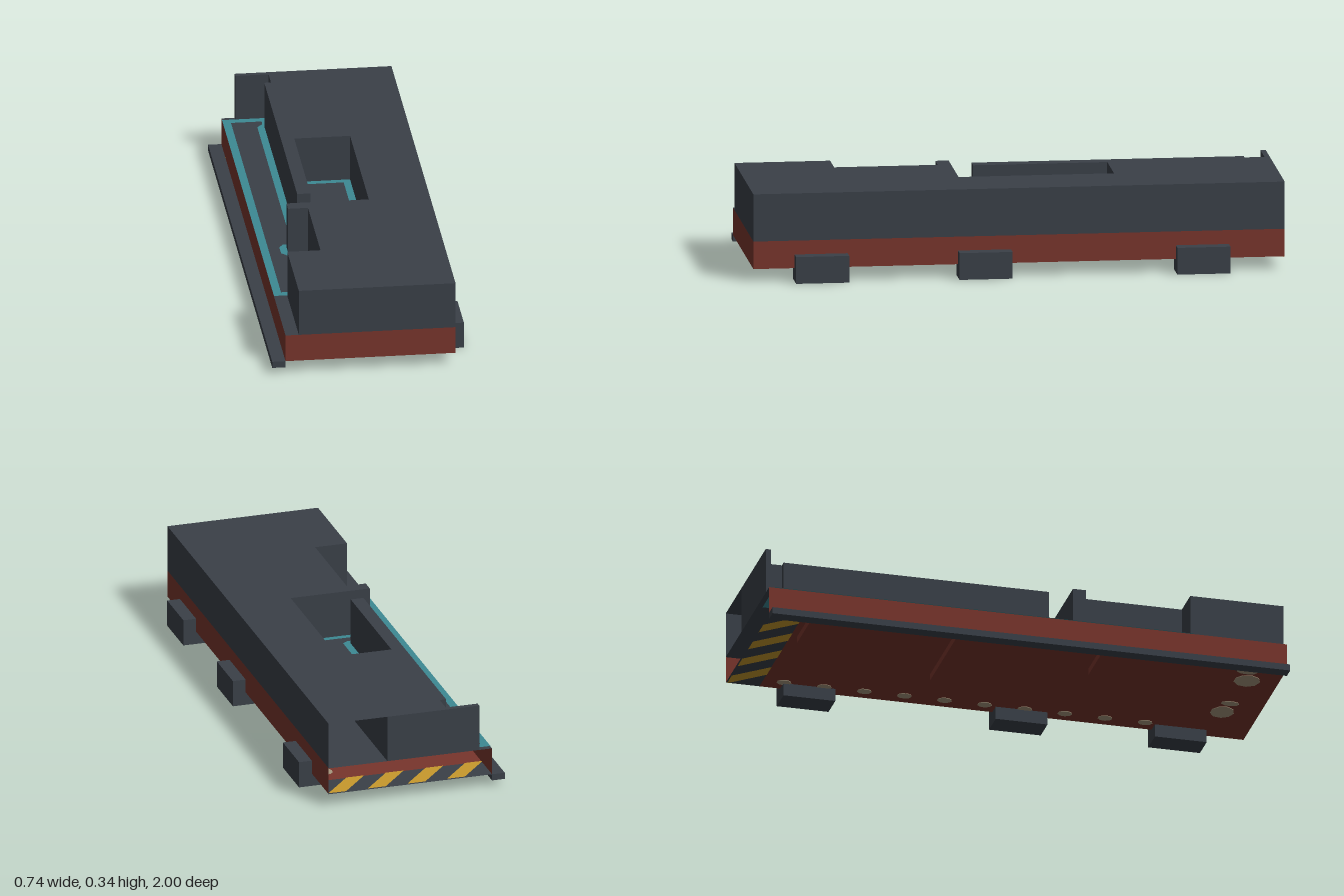
import * as THREE from 'three';

const mat = (name, color, side = THREE.DoubleSide) => {
  const m = new THREE.MeshStandardMaterial({ color, side });
  m.name = name;
  return m;
};

export function createModel() {
  const dark = mat('slate grey', 0x3a4048);
  const red = mat('rust red', 0x78352c);
  const teal = mat('teal', 0x3d8a94);
  const yellow = mat('hazard yellow', 0xc8992c);
  const beige = mat('worn beige', 0xa8987f);

  const root = new THREE.Group();
  root.name = 'hollowBlock';

  const add = (name, geo, material, x = 0, y = 0, z = 0) => {
    const m = new THREE.Mesh(geo, material);
    m.name = name;
    m.position.set(x, y, z);
    root.add(m);
    return m;
  };
  // box given by its limits
  const box = (name, material, x0, x1, y0, y1, z0, z1) =>
    add(name, new THREE.BoxGeometry(x1 - x0, y1 - y0, z1 - z0), material,
      (x0 + x1) / 2, (y0 + y1) / 2, (z0 + z1) / 2);
  // upright sheet between two plan points
  const wall = (name, material, [xa, za], [xb, zb], y0, y1) => {
    const g = new THREE.PlaneGeometry(Math.hypot(xb - xa, zb - za), y1 - y0);
    const m = add(name, g, material, (xa + xb) / 2, (y0 + y1) / 2, (za + zb) / 2);
    m.rotation.y = Math.atan2(za - zb, xb - xa);
  };
  // flat sheet from a plan outline in x, z
  const toVec = (pts) => pts.map(([x, z]) => new THREE.Vector2(x, -z));
  const sheet = (name, material, pts, y, hole) => {
    const s = new THREE.Shape(toVec(pts));
    if (hole) s.holes.push(new THREE.Path(toVec(hole)));
    add(name, new THREE.ShapeGeometry(s).rotateX(-Math.PI / 2), material, 0, y, 0);
  };
  const rect = (x0, x1, z0, z1) => [[x0, z1], [x1, z1], [x1, z0], [x0, z0]];

  const FLOOR = 0.05, DECK = 0.155, TOP = 0.335, W = 0.32;

  // lower shell, open at the back
  const bandEnd = -0.87;
  sheet('floor', red, rect(-W, W, bandEnd, 1), FLOOR);
  wall('lowerLeftWall', red, [W, 1], [W, -1], FLOOR, DECK);
  wall('lowerRightWall', red, [-W, -1], [-W, 1], FLOOR, DECK);
  wall('lowerFrontWall', red, [-W, 1], [W, 1], FLOOR, DECK);
  sheet('deck', dark, rect(-W, W, -1, 1), DECK);

  // edges of the recess cut into the upper shell
  const recess = [
    [-0.145, 0.64], [-0.145, 0.25], [-0.22, 0.25], [-0.22, 0.2], [0.09, 0.2],
    [0.09, -0.385], [-0.12, -0.385], [-0.12, 0.12], [-0.17, 0.12],
    [-0.17, -0.905], [-0.145, -0.905], [-0.145, -0.98],
  ];

  // upper shell: roof, outer walls and recess walls
  const roof = [[0.09, -1], [W, -1], [W, 1], [-0.27, 1], [-0.27, 0.64],
    ...recess, [-0.27, -0.98], [-0.27, -1]];
  sheet('roof', dark, roof, TOP);
  roof.forEach((p, i) => {
    if (i > 0) wall('upperWall', dark, p, roof[(i + 1) % roof.length], DECK, TOP);
  });
  // side of the tunnel that opens at the back
  wall('tunnelWall', dark, [0.09, -1], [0.09, -0.385], DECK, TOP);

  // teal border following the recess on the deck
  const inner = [
    [-0.29, 0.61], [-0.17, 0.61], [-0.17, 0.28], [-0.225, 0.28], [-0.247, 0.255],
    [-0.247, 0.2], [-0.23, 0.177], [0.063, 0.177], [0.063, -0.36], [-0.093, -0.36],
    [-0.093, 0.13], [-0.115, 0.145], [-0.175, 0.145], [-0.197, 0.13],
    [-0.197, -0.9], [-0.175, -0.925], [-0.175, -0.95], [-0.29, -0.95],
  ];
  const outer = [[-W, 0.64], ...recess, [-W, -0.98]];
  sheet('recessBorderTop', teal, outer, DECK + 0.002, inner);
  sheet('recessBorderUnderside', teal, outer, DECK - 0.002, inner);

  // hazard band across the back of the floor
  sheet('hazardBand', dark, rect(-W, W, -1, bandEnd), FLOOR);
  for (let i = 0; i < 4; i++) {
    const c = 0.23 - i * 0.155;
    const stripe = [[c + 0.02, -0.995], [c + 0.09, -0.995],
      [c - 0.02, bandEnd], [c - 0.09, bandEnd]];
    sheet('hazardStripe', yellow, stripe, FLOOR + 0.002);
    sheet('hazardStripeUnderside', yellow, stripe, FLOOR - 0.002);
  }

  // worn spots on the underside: a row, and patches near the front
  const spot = (x, z, rx, rz) => {
    const g = new THREE.CylinderGeometry(1, 1, 0.004, 9);
    add('wornSpot', g, beige, x, FLOOR, z).scale.set(rx, 1, rz);
  };
  for (let i = 0; i < 10; i++) spot(0.262, -0.79 + i * 0.155, 0.022, 0.028);
  [[0.1, 0.86, 0.05, 0.045], [0.02, 0.87, 0.02, 0.035],
    [-0.19, 0.88, 0.05, 0.05], [-0.27, 0.86, 0.022, 0.04]].forEach((p) => spot(...p));

  // raised plates under the floor
  box('underPlateBack', red, -W, -0.14, 0.025, FLOOR, -0.845, -0.43);
  box('underPlateMiddle', red, -W, 0.06, 0.025, FLOOR, -0.28, 0.18);
  box('underPlateFront', red, -W, -0.14, 0.025, FLOOR, 0.28, 0.61);

  // long rail on one side, three clips on the other
  box('sideRail', dark, -0.37, -W, 0.025, FLOOR, -1, 1);
  for (const z of [-0.69, 0.13, 0.745]) {
    box('clip', dark, 0.27, 0.37, 0, 0.102, z - 0.1, z + 0.1);
  }
  return root;
}
